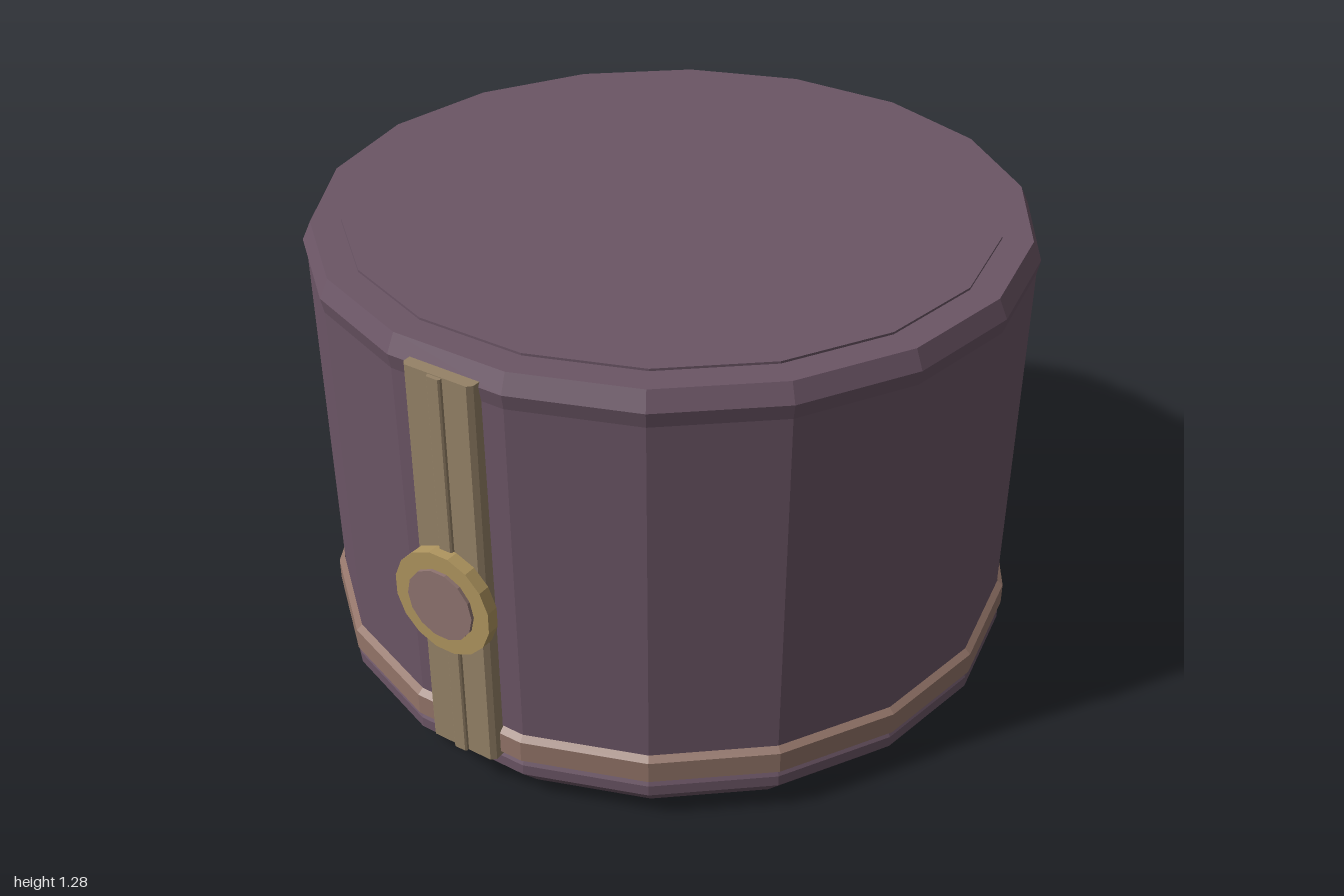
import * as THREE from 'three';

const mat = (name, color) => {
  const m = new THREE.MeshStandardMaterial({ color });
  m.name = name;
  return m;
};

const SIDES = 18;
const CENTER_Z = -0.022;

// Gives every face its own normal for the faceted look
function faceted(geometry) {
  const g = geometry.index ? geometry.toNonIndexed() : geometry;
  g.computeVertexNormals();
  return g;
}

function add(parent, name, geometry, material) {
  const mesh = new THREE.Mesh(faceted(geometry), material);
  mesh.name = name;
  parent.add(mesh);
  return mesh;
}

// Eighteen-sided ring from [radius, height] pairs, with a flat facing the front
function turned(profile) {
  const points = profile.map(([r, y]) => new THREE.Vector2(r, y));
  return new THREE.LatheGeometry(points, SIDES, Math.PI / SIDES)
    .translate(0, 0, CENTER_Z);
}

// Upright strip with chamfered long edges, lying on z = 0 and facing +z
function strip(halfWidth, depth, bevel, y0, y1) {
  const s = new THREE.Shape();
  s.moveTo(-halfWidth, 0);
  s.lineTo(halfWidth, 0);
  s.lineTo(halfWidth, -(depth - bevel));
  s.lineTo(halfWidth - bevel, -depth);
  s.lineTo(bevel - halfWidth, -depth);
  s.lineTo(-halfWidth, -(depth - bevel));
  s.closePath();
  return new THREE.ExtrudeGeometry(s, { depth: y1 - y0, bevelEnabled: false })
    .rotateX(-Math.PI / 2)
    .translate(0, y0, 0);
}

export function createModel() {
  const model = new THREE.Group();
  model.name = 'roundBox';
  const plum = mat('plum', 0x6b5565);
  const copper = mat('dustyCopper', 0x927468);
  const bronze = mat('dullBronze', 0x958267);
  const brass = mat('brass', 0xaf955f);
  const rose = mat('dustyRose', 0x8f7470);

  // Drum: chamfered foot, slightly flared wall, bevelled top rim
  add(model, 'drum', turned([
    [0, 0], [0.88, 0], [0.953, 0.08], [0.953, 0.11], [0.943, 0.13],
    [0.943, 0.2], [0.952, 1.18], [0.96, 1.22], [0.937, 1.27], [0, 1.27],
  ]), plum);

  // Raised plate on the lid
  add(model, 'lidPlate', turned([[0.858, 1.265], [0.858, 1.276], [0, 1.276]]), plum);

  // Band around the foot
  add(model, 'footBand', turned([
    [0.94, 0.122], [0.96, 0.132], [0.96, 0.192], [0.944, 0.206],
  ]), copper);

  // Front and back straps, each with a raised middle rib
  for (const [name, z, turn] of [['front', 0.91, 0], ['back', -0.945, Math.PI]]) {
    const strap = new THREE.Group();
    strap.name = name + 'Strap';
    add(strap, 'strapPlate', strip(0.102, 0.042, 0.012, 0.118, 1.232), bronze);
    add(strap, 'strapRib', strip(0.02, 0.053, 0.004, 0.12, 1.23), bronze);
    strap.position.z = z;
    strap.rotation.y = turn;
    model.add(strap);
  }

  // Round clasp on the front strap
  const clasp = new THREE.Group();
  clasp.name = 'clasp';
  const disc = (r, z0, z1, sides) =>
    new THREE.CylinderGeometry(r, r, z1 - z0, sides, 1, false, Math.PI / sides)
      .rotateX(Math.PI / 2)
      .translate(0, 0.605, (z0 + z1) / 2);
  add(clasp, 'claspRing', disc(0.146, 0.955, 0.989, 16), brass);
  add(clasp, 'claspButton', disc(0.099, 0.98, 0.998, 14), rose);
  model.add(clasp);

  return model;
}
